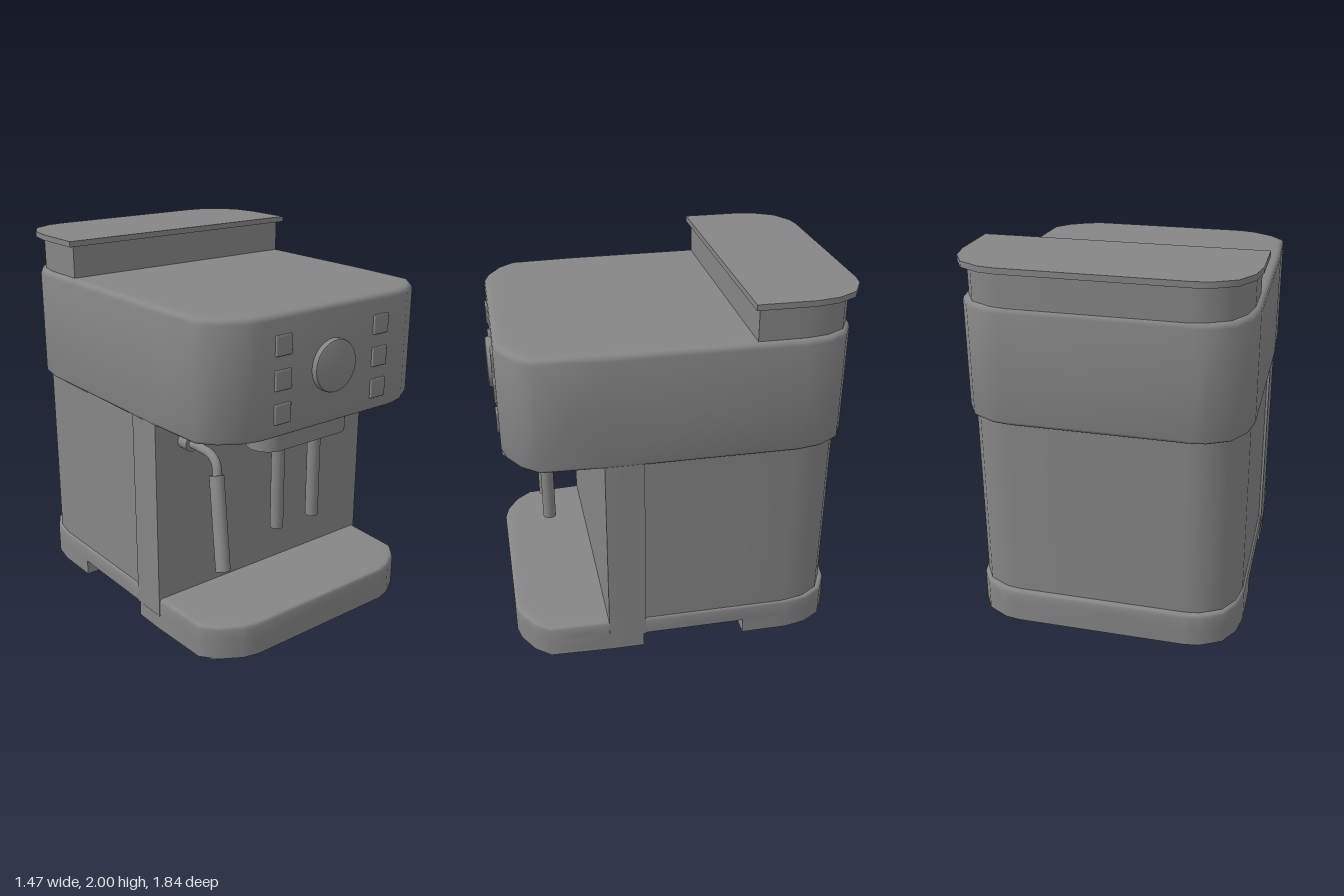
import * as THREE from 'three';
import { toCreasedNormals } from 'three/addons/utils/BufferGeometryUtils.js';
import { RoundedBoxGeometry } from 'three/addons/geometries/RoundedBoxGeometry.js';

const material = new THREE.MeshStandardMaterial({ color: 0x868686 });

// Half plan of the housing as [z, x], front to back
const PLAN = [
  [0.887, 0.45], [0.867, 0.53], [0.802, 0.64], [0.72, 0.708], [0.38, 0.725],
  [-0.6, 0.732], [-0.72, 0.71], [-0.82, 0.65], [-0.878, 0.54], [-0.89, 0.46],
];

// Mirrored outline of the plan, scaled and cut to a range of z
function outline(front = 1, back = -1, sx = 1, sz = 1) {
  const plan = PLAN.map(([z, x]) => [z * sz, x * sx]);
  const half = [];
  plan.forEach(([z, x], i) => {
    if (z <= front && z >= back) half.push([z, x]);
    if (i === plan.length - 1) return;
    const [z2, x2] = plan[i + 1];
    for (const cut of [front, back]) {
      if (z > cut && z2 < cut) half.push([cut, x + (x2 - x) * (z - cut) / (z - z2)]);
    }
  });
  const right = half.map(([z, x]) => [x, z]);
  return [...right, ...right.map(([x, z]) => [-x, z]).reverse()];
}

// Rounded top edge of radius r ending at height y, plus a flat margin
function roundedTop(y, r) {
  const arc = [0, 30, 60, 90].map((deg) => {
    const a = THREE.MathUtils.degToRad(deg);
    return [y - r + r * Math.sin(a), r * (1 - Math.cos(a))];
  });
  return [...arc, [y, r + 0.06]];
}

// Solid stacked from an outline at levels of [height, inset], with flat caps
function slab(points, levels) {
  const n = points.length;
  const midZ = points.reduce((sum, p) => sum + p[1], 0) / n;
  const rings = levels.map(([y, inset]) =>
    points.map(([x, z]) => [x * (1 - inset / 0.73), y, z * (1 - inset / 0.885)]));
  const pos = [];
  const tri = (a, b, c) => pos.push(...a, ...b, ...c);
  const bottom = rings[0], top = rings[rings.length - 1];
  for (let i = 0; i < n; i++) {
    const j = (i + 1) % n;
    for (let k = 0; k < rings.length - 1; k++) {
      // Four triangles about the middle keep the smoothing even
      const quad = [rings[k][i], rings[k][j], rings[k + 1][j], rings[k + 1][i]];
      const mid = [0, 1, 2].map((c) => quad.reduce((sum, p) => sum + p[c] / 4, 0));
      quad.forEach((p, q) => tri(p, quad[(q + 1) % 4], mid));
    }
    tri([0, top[0][1], midZ], top[i], top[j]);
    tri([0, bottom[0][1], midZ], bottom[j], bottom[i]);
  }
  const geometry = new THREE.BufferGeometry();
  geometry.setAttribute('position', new THREE.Float32BufferAttribute(pos, 3));
  return toCreasedNormals(geometry, 0.75);
}

// Cylinder running between two points
function rod(from, to, radius) {
  const a = new THREE.Vector3(...from), b = new THREE.Vector3(...to);
  const geometry = new THREE.CylinderGeometry(radius, radius, a.distanceTo(b), 24);
  const turn = new THREE.Quaternion().setFromUnitVectors(
    new THREE.Vector3(0, 1, 0), b.clone().sub(a).normalize());
  geometry.applyQuaternion(turn);
  const mid = a.add(b).multiplyScalar(0.5);
  return geometry.translate(mid.x, mid.y, mid.z);
}

export function createModel() {
  const model = new THREE.Group();
  model.name = 'coffeeMachine';
  const add = (name, geometry, parent = model) => {
    const mesh = new THREE.Mesh(geometry, material);
    mesh.name = name;
    parent.add(mesh);
    return mesh;
  };

  // Base with a channel across its underside
  const baseWidth = 0.985;
  add('base', slab(outline(1, -1, baseWidth), [[0.12, 0], ...roundedTop(0.218, 0.018)]));
  add('baseFront', slab(outline(1, 0.21, baseWidth), [[0.035, 0], [0.12, 0]]));
  add('baseRear', slab(outline(-0.35, -1, baseWidth), [[0.035, 0], [0.12, 0]]));
  for (const x of [-0.58, 0.58]) {
    for (const z of [-0.715, 0.715]) add('foot', rod([x, 0, z], [x, 0.04, z], 0.055));
  }

  // Column and the slightly recessed rear housing
  add('column', slab(outline(0.4, 0.2, 0.99), [[0.118, 0], [1.21, 0]]));
  add('rearHousing', slab(outline(0.21, -1, 0.97, 0.968), [[0.19, 0], [1.21, 0]]));

  // Head with softened edges
  add('head', slab(outline(), [
    [1.194, 0.08], [1.194, 0.02], [1.197, 0.01], [1.204, 0.003], [1.214, 0],
    ...roundedTop(1.8, 0.03)]));

  // Water tank and overhanging lid
  add('waterTank', slab(outline(-0.355, -1, 0.96, 0.985), [[1.78, 0], [1.975, 0]]));
  add('tankLid', slab(outline(-0.33, -1, 1.005, 1.033), [[1.97, 0], [2, 0]]));

  // Control dial and buttons
  const controls = new THREE.Group();
  controls.name = 'controls';
  model.add(controls);
  const dialProfile = [[0, 0.87], [0.135, 0.87], [0.135, 0.905], [0.131, 0.914], [0.12, 0.918], [0, 0.918]]
    .map(([r, h]) => new THREE.Vector2(r, h));
  const dial = toCreasedNormals(new THREE.LatheGeometry(dialProfile, 48), 0.6);
  add('dial', dial.rotateX(Math.PI / 2).translate(0, 1.493, 0), controls);
  for (const x of [-0.32, 0.32]) {
    for (const y of [1.313, 1.48, 1.648]) {
      add('button', new RoundedBoxGeometry(0.1, 0.1, 0.04, 2, 0.005), controls)
        .position.set(x, y, 0.878);
    }
  }

  // Brew head with rounded ends and two spouts
  const hw = 0.305, hd = 0.107;
  const shape = new THREE.Shape();
  shape.absarc(hw - hd, 0, hd, -Math.PI / 2, Math.PI / 2);
  shape.absarc(hd - hw, 0, hd, Math.PI / 2, Math.PI * 1.5);
  const brew = new THREE.ExtrudeGeometry(shape, { depth: 0.16, bevelEnabled: false, curveSegments: 16 });
  add('brewHead', toCreasedNormals(brew, 0.6).rotateX(-Math.PI / 2).translate(0, 1.048, 0.643));
  for (const x of [-0.125, 0.125]) {
    add('spout', rod([x, 0.565, 0.645], [x, 1.07, 0.645], 0.035));
  }

  // Steam wand: socket, bent pipe and grip
  const wand = new THREE.Group();
  wand.name = 'steamWand';
  model.add(wand);
  add('socket', rod([-0.54, 1.08, 0.38], [-0.54, 1.08, 0.47], 0.042), wand);
  const bend = new THREE.CatmullRomCurve3([
    [-0.54, 1.08, 0.45], [-0.54, 1.08, 0.54], [-0.543, 1.075, 0.62],
    [-0.55, 1.045, 0.675], [-0.565, 0.98, 0.705],
  ].map((p) => new THREE.Vector3(...p)));
  add('pipe', new THREE.TubeGeometry(bend, 32, 0.023, 16), wand);
  add('grip', rod([-0.563, 0.993, 0.696], [-0.633, 0.556, 0.838], 0.037), wand);

  return model;
}
